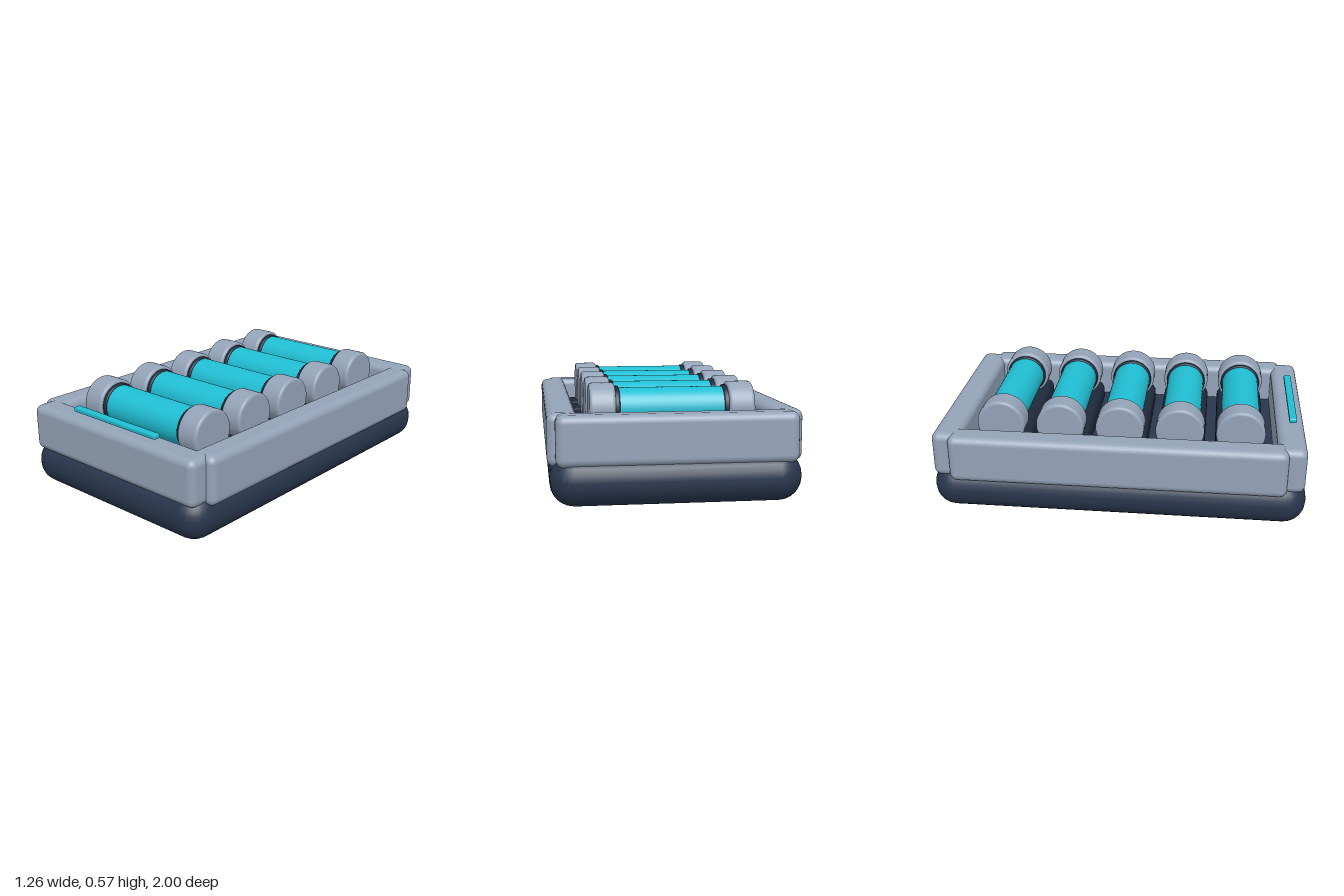
import * as THREE from 'three';
import { RoundedBoxGeometry } from 'three/addons/geometries/RoundedBoxGeometry.js';

const material = (name, color) => {
  const m = new THREE.MeshStandardMaterial({ color });
  m.name = name;
  return m;
};

export function createModel() {
  const navy = material('navy', 0x28364d);
  const dark = material('dark navy', 0x1e293b);
  const steel = material('steel', 0x94a3b8);
  const cyan = material('cyan', 0x20bed3);
  const model = new THREE.Group();
  model.name = 'rollerTray';

  const add = (parent, name, geometry, mat, x, y, z) => {
    const mesh = new THREE.Mesh(geometry, mat);
    mesh.name = name;
    mesh.position.set(x, y, z);
    parent.add(mesh);
    return mesh;
  };
  const box = (w, h, d, r, s = 4) => new RoundedBoxGeometry(w, h, d, s, r);

  // Cylinder along x with softly rounded rims
  const roundedDisc = (radius, length, r) => {
    const h = length / 2;
    const half = [];
    for (let i = 0; i <= 4; i++) {
      const a = (i / 4) * Math.PI / 2;
      half.push([radius - r + r * Math.sin(a), h - r + r * Math.cos(a)]);
    }
    half.unshift([0, h], [radius - r - 0.002, h]);
    half.push([radius, h - r - 0.002]);
    const upper = half.map(([x, y]) => new THREE.Vector2(x, y));
    const lower = half.map(([x, y]) => new THREE.Vector2(x, -y));
    return new THREE.LatheGeometry([...lower, ...upper.reverse()], 48).rotateZ(-Math.PI / 2);
  };
  const cylinder = (radius, length) =>
    new THREE.CylinderGeometry(radius, radius, length, 48).rotateZ(Math.PI / 2);

  // Base
  add(model, 'base', box(1.24, 0.25, 2, 0.12, 3), navy, 0, 0.125, 0);

  // Frame rails
  const sideRail = box(0.15, 0.26, 1.78, 0.04);
  const endRail = box(1.18, 0.25, 0.15, 0.04);
  for (const s of [-1, 1]) {
    add(model, s > 0 ? 'leftRail' : 'rightRail', sideRail, steel, s * 0.555, 0.32, 0);
    add(model, s > 0 ? 'frontRail' : 'backRail', endRail, steel, 0, 0.325, s * 0.91);
  }

  // Five rollers, each in its own cradle
  const cradle = box(0.95, 0.14, 0.265, 0.045);
  const barrel = cylinder(0.105, 0.54);
  const collar = roundedDisc(0.113, 0.04, 0.008);
  const cap = roundedDisc(0.13, 0.13, 0.015);
  for (let i = -2; i <= 2; i++) {
    const roller = new THREE.Group();
    roller.name = 'roller';
    roller.position.z = i * 0.322;
    add(roller, 'cradle', cradle, dark, 0, 0.27, 0);
    add(roller, 'barrel', barrel, cyan, 0, 0.44, 0);
    for (const s of [-1, 1]) {
      add(roller, 'collar', collar, dark, s * 0.283, 0.44, 0);
      add(roller, 'endCap', cap, steel, s * 0.35, 0.44, 0);
    }
    model.add(roller);
  }

  // Indicator bar above the front rail
  add(model, 'indicatorBar', box(0.6, 0.026, 0.04, 0.008), cyan, 0, 0.482, 0.92);
  return model;
}
